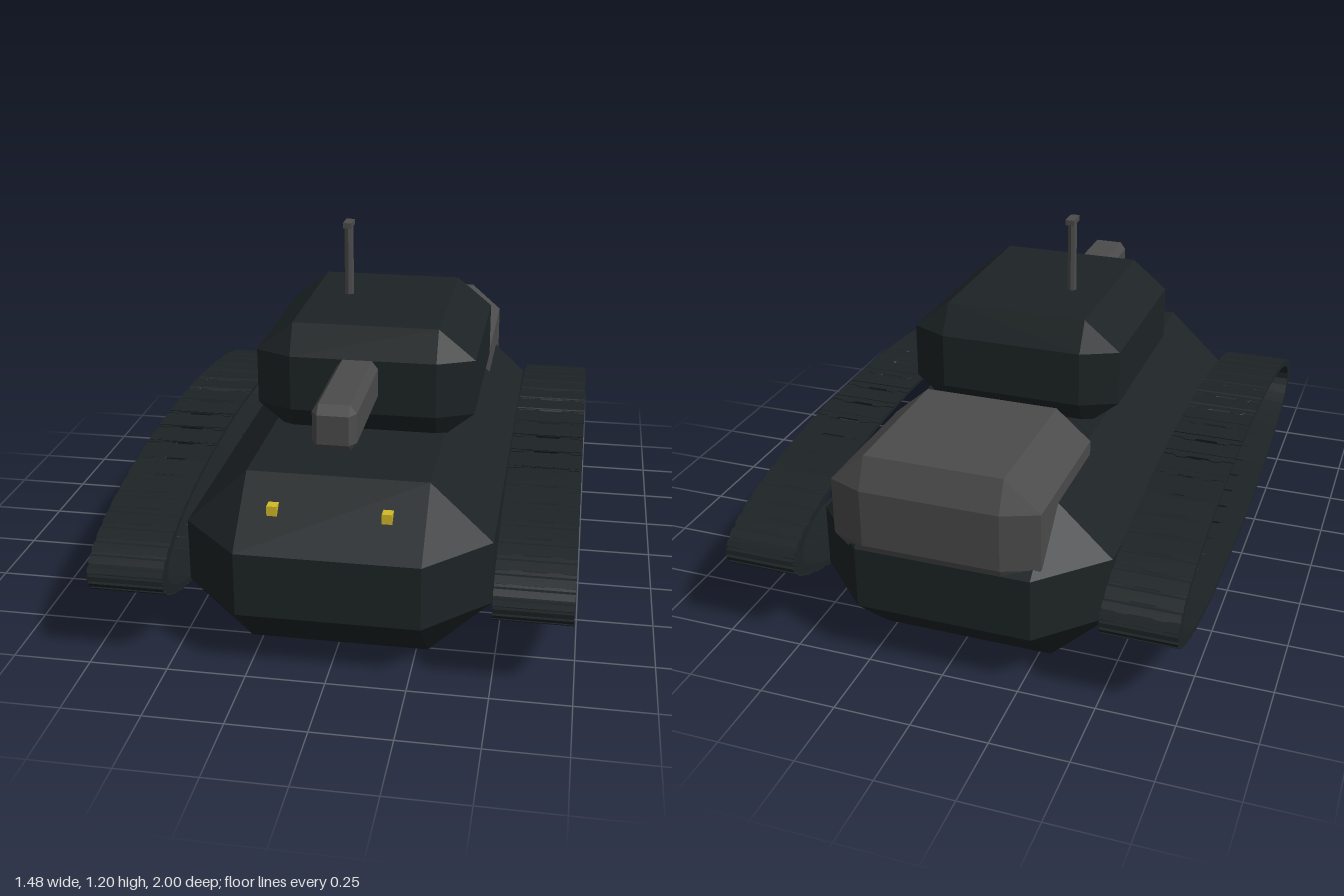
import * as THREE from 'three';
import { ConvexGeometry } from 'three/addons/geometries/ConvexGeometry.js';
import { mergeGeometries } from 'three/addons/utils/BufferGeometryUtils.js';

const paint = (color) => new THREE.MeshStandardMaterial({ color });
const armour = paint(0x1d2325);
const metal = paint(0x4b4b4b);
const lamp = paint(0xd2ba28);

function add(parent, name, geometry, material, x = 0, y = 0, z = 0) {
  const mesh = new THREE.Mesh(geometry, material);
  mesh.name = name;
  mesh.position.set(x, y, z);
  parent.add(mesh);
  return mesh;
}

// Box between two corners with every edge and corner chamfered by (cx, cy, cz)
function chamferedBox([x0, y0, z0], [x1, y1, z1], [cx, cy, cz]) {
  const points = [];
  for (const [ix, iy, iz] of [[0, cy, cz], [cx, 0, cz], [cx, cy, 0]])
    for (const x of [x0 + ix, x1 - ix])
      for (const y of [y0 + iy, y1 - iy])
        for (const z of [z0 + iz, z1 - iz]) points.push(new THREE.Vector3(x, y, z));
  return new ConvexGeometry(points);
}

// One track plate: wavy interlocking ends with a slot in the middle of the joint
function linkPlate(pitch) {
  const h = pitch / 2;
  const edge = [[-0.12, 0], [-0.085, 0], [-0.07, 0.012], [-0.045, 0.012], [-0.035, 0],
    [0.035, 0], [0.045, 0.012], [0.07, 0.012], [0.085, 0], [0.12, 0]];
  const slot = (x) => (Math.abs(x) < 0.04 ? 0.014 : 0.002);
  const rear = edge.map(([x, s]) => new THREE.Vector2(x, s - h + slot(x)));
  const front = edge.map(([x, s]) => new THREE.Vector2(x, s + h)).reverse();
  return new THREE.ExtrudeGeometry(new THREE.Shape([...rear, ...front]),
    { depth: 0.05, bevelEnabled: false });
}

// Ring of plates squashed into a long ellipse
function trackGeometry(phase) {
  const count = 50;
  const pitch = (2 * Math.PI) / count;
  const plate = linkPlate(pitch * 0.97).translate(0, 0, 0.935);
  const cleat = new THREE.BoxGeometry(0.24, pitch * 0.6, 0.03).toNonIndexed().translate(0, -0.005, 0.985);
  const links = [];
  for (let i = 0; i < count; i++)
    for (const part of [plate, cleat]) links.push(part.clone().rotateX((i + phase) * pitch));
  return mergeGeometries(links).scale(1, 0.205, 0.99);
}

export function createModel() {
  const model = new THREE.Group();
  model.name = 'tank';

  // Body
  add(model, 'hull', chamferedBox([-0.485, 0, -0.985], [0.485, 0.585, 0.957], [0.198, 0.188, 0.198]), armour);
  add(model, 'turret', chamferedBox([-0.345, 0.555, -0.31], [0.382, 0.94, 0.413], [0.122, 0.1, 0.057]), armour);
  add(model, 'engineBox', chamferedBox([-0.31, 0.32, -0.993], [0.37, 0.71, -0.412], [0.115, 0.1, 0.046]), metal);

  // Gun
  add(model, 'gunBarrel', chamferedBox([-0.067, 0.695, 0.3], [0.07, 0.84, 0.835], [0.02, 0.026, 0.03]), metal);

  // Periscope mast with crossbar
  add(model, 'mast', new THREE.CylinderGeometry(0.016, 0.016, 0.27, 8).toNonIndexed(), metal, -0.097, 1.055, 0.003)
    .geometry.computeVertexNormals();
  add(model, 'mastCap', new THREE.BoxGeometry(0.03, 0.018, 0.066), metal, -0.097, 1.189, 0.003);

  // Headlights
  for (const x of [-0.185, 0.17])
    add(model, 'headlight', new THREE.BoxGeometry(0.032, 0.032, 0.034), lamp, x, 0.503, 0.848);

  // Tracks
  add(model, 'leftTrack', trackGeometry(0.25), armour, 0.62, 0.295, -0.01);
  add(model, 'rightTrack', trackGeometry(0), armour, -0.62, 0.295, 0.005);

  return model;
}
